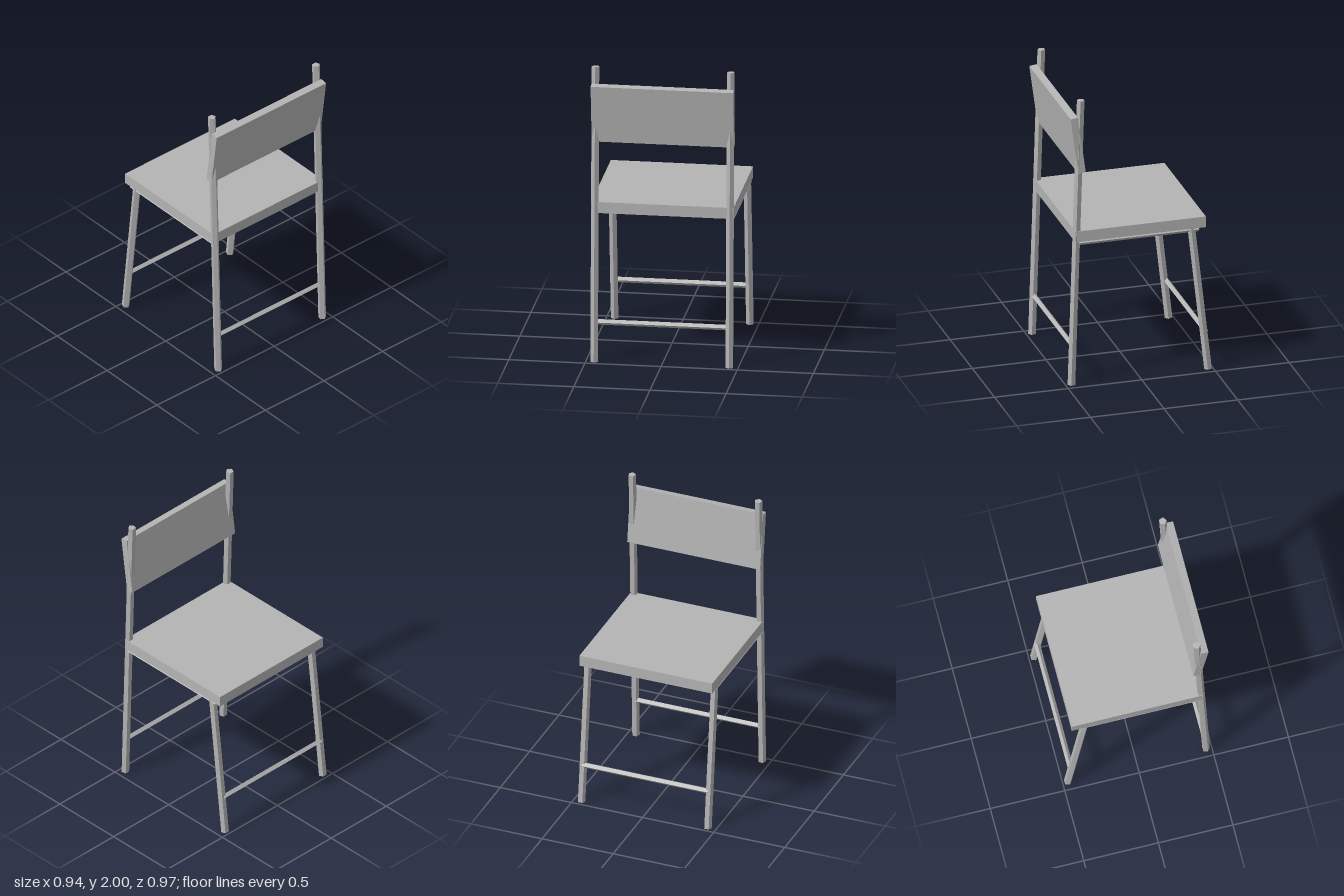
import * as THREE from 'three';

export function createModel() {
  const chair = new THREE.Group();
  chair.name = 'chair';
  const grey = new THREE.MeshStandardMaterial({ color: 0xb4b4b4, flatShading: true });
  grey.name = 'grey';

  function add(name, geometry) {
    const mesh = new THREE.Mesh(geometry, grey);
    mesh.name = name;
    chair.add(mesh);
    return mesh;
  }

  // Straight faceted bar between two points
  function bar(name, from, to, radius, sides) {
    const a = new THREE.Vector3(...from);
    const b = new THREE.Vector3(...to);
    const dir = b.clone().sub(a);
    const mesh = add(name, new THREE.CylinderGeometry(radius, radius, dir.length(), sides));
    mesh.position.copy(a).add(b).multiplyScalar(0.5);
    mesh.quaternion.setFromUnitVectors(new THREE.Vector3(0, 1, 0), dir.normalize());
  }

  const legX = 0.444;
  const legRadius = 0.0263;

  // Seat slab
  add('seat', new THREE.BoxGeometry(0.934, 0.075, 0.885)).position.set(0, 1.048, -0.002);

  // Tilted backrest panel
  const backrest = add('backrest', new THREE.BoxGeometry(0.934, 0.393, 0.05));
  backrest.position.set(0, 1.69, 0.422);
  backrest.rotation.x = 0.134;

  // Legs, back posts and the rails under the seat, mirrored
  for (const [side, s] of [['left', 1], ['right', -1]]) {
    const x = s * legX;
    bar(side + 'BackPost', [x, 0.001, 0.461], [x, 1.999, 0.398], legRadius, 5);
    bar(side + 'FrontLeg', [x, 0.003, -0.466], [x, 1.02, -0.352], legRadius, 5);
    bar(side + 'SeatRail', [x, 1.0, 0.42], [x, 1.0, -0.4], 0.022, 4);
  }

  // Cross bars between the legs
  bar('backStretcher', [-legX, 0.27, 0.449], [legX, 0.27, 0.449], 0.019, 4);
  bar('frontStretcher', [-legX, 0.27, -0.448], [legX, 0.27, -0.448], 0.019, 4);

  return chair;
}
